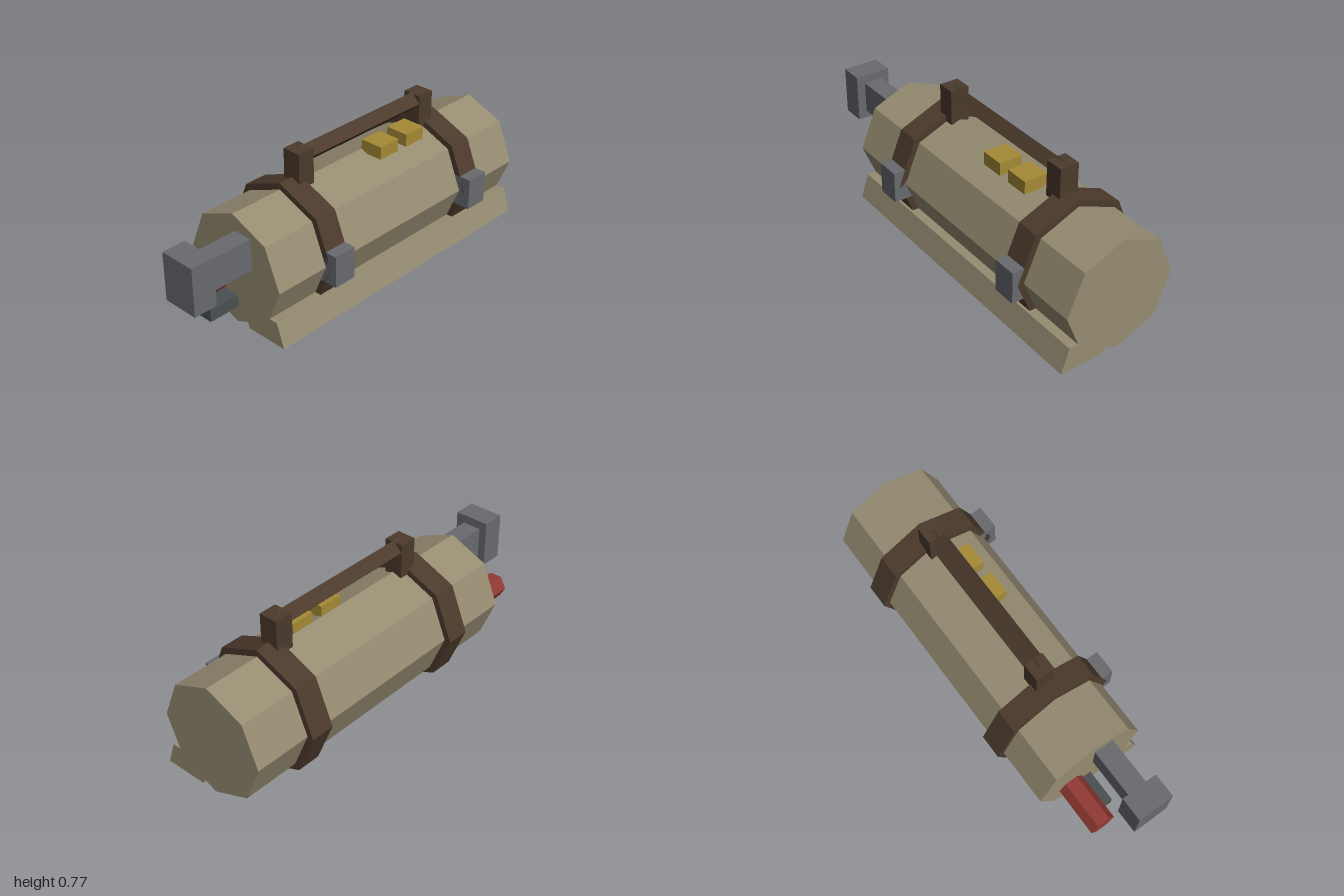
import * as THREE from 'three';

const material = (name, color) => {
  const m = new THREE.MeshStandardMaterial({ color, flatShading: true });
  m.name = name;
  return m;
};

export function createModel() {
  const canvas = material('tan canvas', 0x968c72);
  const leather = material('brown leather', 0x4c3a2c);
  const steel = material('grey steel', 0x686a6f);
  const darkSteel = material('dark steel', 0x4a5051);
  const red = material('red handle', 0x923a34);
  const brass = material('brass', 0xa58a35);

  const group = new THREE.Group();
  const add = (name, geometry, mat) => {
    const mesh = new THREE.Mesh(geometry, mat);
    mesh.name = name;
    group.add(mesh);
    return mesh;
  };
  // Box given by its limits on each axis
  const box = (name, mat, [x0, x1], [y0, y1], [z0, z1]) =>
    add(name, new THREE.BoxGeometry(x1 - x0, y1 - y0, z1 - z0), mat)
      .position.set((x0 + x1) / 2, (y0 + y1) / 2, (z0 + z1) / 2);
  // Prism lying along x, with a corner pointing to +z
  const prism = (name, mat, sides, radius, [x0, x1], y, z) =>
    add(name, new THREE.CylinderGeometry(radius, radius, x1 - x0, sides).rotateZ(Math.PI / 2), mat)
      .position.set((x0 + x1) / 2, y, z);

  const axisY = 0.32, axisZ = -0.013;
  const bodyX = [-0.635, 1];

  // Octagonal roll
  prism('bagBody', canvas, 8, 0.285, bodyX, axisY, axisZ);

  // Slanted flap along the lower front: profile in (-z, y), extruded along x
  const profile = new THREE.Shape(
    [[0.25, 0.155], [0.028, 0.155], [0.068, 0.035], [0.291, 0.035]]
      .map(([z, y]) => new THREE.Vector2(-z, y)));
  const flap = new THREE.ExtrudeGeometry(profile, { depth: bodyX[1] - bodyX[0], bevelEnabled: false });
  flap.rotateY(Math.PI / 2).translate(bodyX[0], 0, 0);
  add('lowerFlap', flap, canvas);

  // Straps with buckles
  for (const [side, x] of [['right', [-0.35, -0.23]], ['left', [0.587, 0.708]]]) {
    prism(side + 'Strap', leather, 8, 0.318, x, axisY, axisZ);
    box(side + 'Buckle', steel, x, [0.24, 0.4], [0.24, 0.333]);
  }

  // Carry handle
  box('rightHandlePost', leather, [-0.275, -0.183], [0.59, 0.768], [-0.062, 0.035]);
  box('leftHandlePost', leather, [0.542, 0.635], [0.59, 0.768], [-0.062, 0.035]);
  prism('handleBar', leather, 4, 0.048, [-0.228, 0.588], 0.728, axisZ);

  // Brass tags
  for (const x of [0.185, 0.365]) box('brassTag', brass, [x, x + 0.122], [0.59, 0.655], [-0.012, 0.109]);

  // Tools sticking out of the end
  box('hammerShaft', steel, [-0.885, -0.6], [0.364, 0.524], [0, 0.1]);
  box('hammerHead', steel, [-1, -0.88], [0.325, 0.568], [-0.04, 0.145]);
  prism('redToolHandle', red, 6, 0.065, [-0.88, -0.6], 0.242, -0.12);
  box('darkTool', darkSteel, [-0.8, -0.6], [0.122, 0.184], [-0.13, 0]);

  return group;
}
